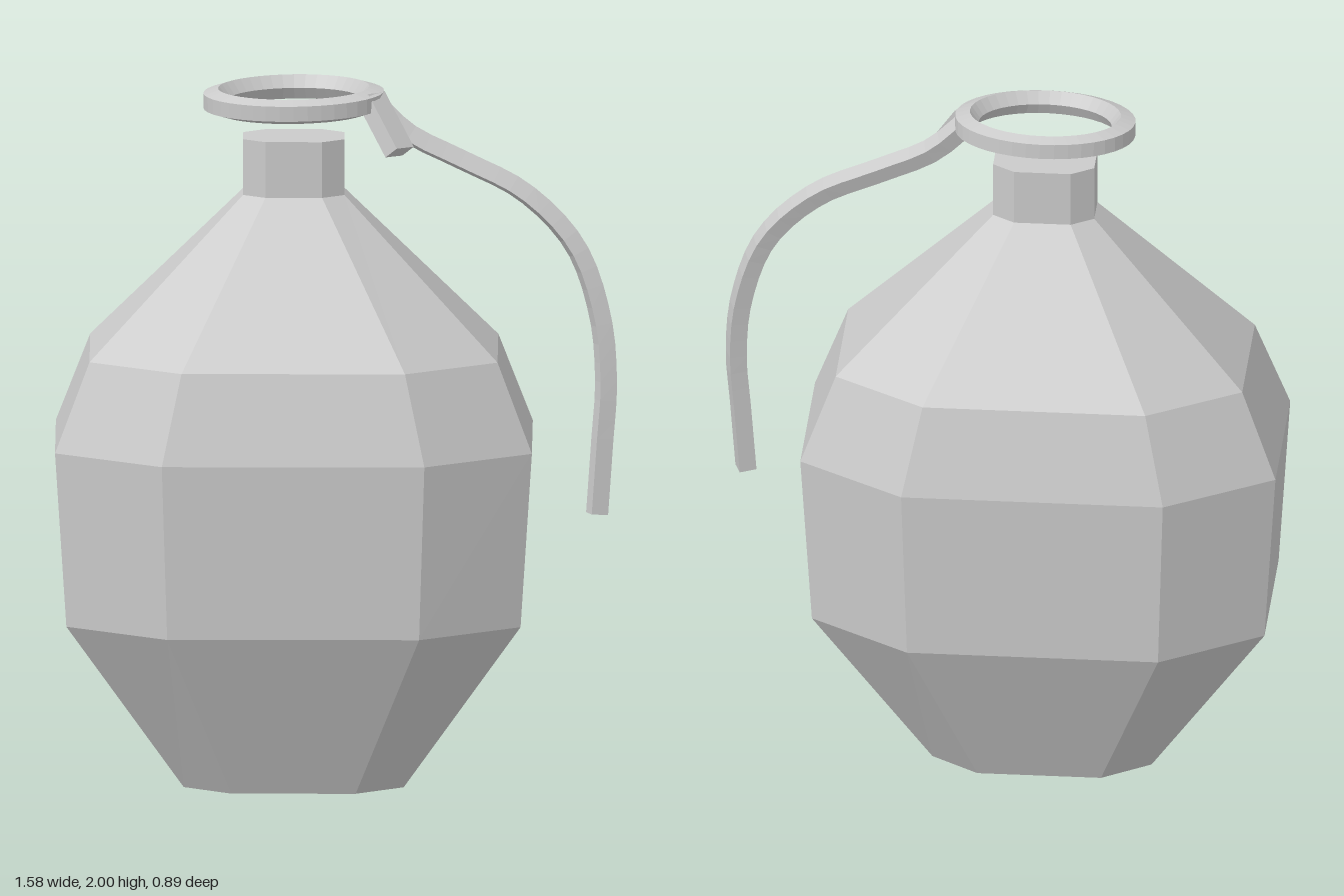
import * as THREE from 'three';

const steel = new THREE.MeshStandardMaterial({ color: 0xcacaca, flatShading: true });
steel.name = 'light grey metal';

// Joins matching cross-sections (corners clockwise about the travel direction) into a capped solid
function loft(sections) {
  const n = sections[0].length, pos = [];
  const tri = (a, b, c) => pos.push(...a, ...b, ...c);
  for (let s = 0; s < sections.length - 1; s++) {
    const lo = sections[s], hi = sections[s + 1];
    for (let i = 0; i < n; i++) {
      const j = (i + 1) % n;
      tri(lo[i], hi[i], lo[j]);
      tri(lo[j], hi[i], hi[j]);
    }
  }
  const first = sections[0], last = sections[sections.length - 1];
  for (let i = 1; i < n - 1; i++) {
    tri(first[0], first[i], first[i + 1]);
    tri(last[0], last[i + 1], last[i]);
  }
  const geo = new THREE.BufferGeometry();
  geo.setAttribute('position', new THREE.Float32BufferAttribute(pos, 3));
  geo.computeVertexNormals();
  return geo;
}

// Flattened octagon: half width, corner x, half depth, corner z
function octagon(y, X, cx, Z, cz) {
  return [[X, cz], [cx, Z], [-cx, Z], [-X, cz], [-X, -cz], [-cx, -Z], [cx, -Z], [X, -cz]]
    .map(([x, z]) => [x, y, z]);
}

// Square bar swept along a curve, turned by roll about its own axis
function bar(points, side, roll, steps) {
  const curve = new THREE.CatmullRomCurve3(points.map(p => new THREE.Vector3(...p)));
  const sections = [];
  for (let i = 0; i <= steps; i++) {
    const p = curve.getPointAt(i / steps), t = curve.getTangentAt(i / steps);
    const b = new THREE.Vector3(0, 0, 1).addScaledVector(t, -t.z).normalize();
    const n = b.clone().cross(t);
    sections.push([0, 1, 2, 3].map(k => {
      const a = -roll + Math.PI / 4 - k * Math.PI / 2, r = side * Math.SQRT1_2;
      return p.clone().addScaledVector(n, r * Math.cos(a)).addScaledVector(b, r * Math.sin(a)).toArray();
    }));
  }
  return loft(sections);
}

export function createModel() {
  const group = new THREE.Group();
  const add = (name, geo) => {
    const mesh = new THREE.Mesh(geo, steel);
    mesh.name = name;
    group.add(mesh);
    return mesh;
  };

  // Faceted body with its short neck
  add('body', loft([
    octagon(0, 0.31, 0.175, 0.205, 0.11),
    octagon(0.485, 0.64, 0.355, 0.425, 0.235),
    octagon(0.985, 0.672, 0.37, 0.443, 0.245),
    octagon(1.24, 0.575, 0.315, 0.38, 0.21),
    octagon(1.69, 0.143, 0.08, 0.095, 0.052),
    octagon(1.85, 0.143, 0.08, 0.095, 0.052),
  ])).position.x = -0.12;

  // Oval pull ring with a five-sided section, flat side outward, slightly tilted
  const profile = [];
  for (let i = 0; i <= 5; i++) {
    const a = (i - 0.5) * Math.PI * 2 / 5;
    profile.push(new THREE.Vector2(0.225 + 0.037 * Math.cos(a), 0.037 * Math.sin(a)));
  }
  const ring = add('pullRing', new THREE.LatheGeometry(profile, 40).scale(1, 1, 0.72));
  ring.position.set(-0.12, 1.955, 0);
  ring.rotation.set(0.04, 0, 0.015);

  // Clip holding the ring to the lever
  const clip = add('clip', new THREE.BoxGeometry(0.048, 0.08, 0.18));
  const along = new THREE.Vector3(0.45, -0.79, 0.42).normalize();
  const across = new THREE.Vector3(0.67, 0.61, 0.43);
  across.addScaledVector(along, -across.dot(along)).normalize();
  clip.quaternion.setFromRotationMatrix(
    new THREE.Matrix4().makeBasis(across, along.clone().cross(across), along));
  clip.position.set(0.138, 1.897, 0.078);

  // Curved lever
  add('lever', bar([
    [0.09, 1.965, -0.005], [0.2, 1.86, 0.002], [0.35, 1.785, 0.01], [0.53, 1.693, 0.025],
    [0.673, 1.543, 0.04], [0.744, 1.34, 0.055], [0.76, 1.15, 0.072],
    [0.75, 1.0, 0.085], [0.735, 0.785, 0.1],
  ], 0.049, 0.33, 28));

  return group;
}
